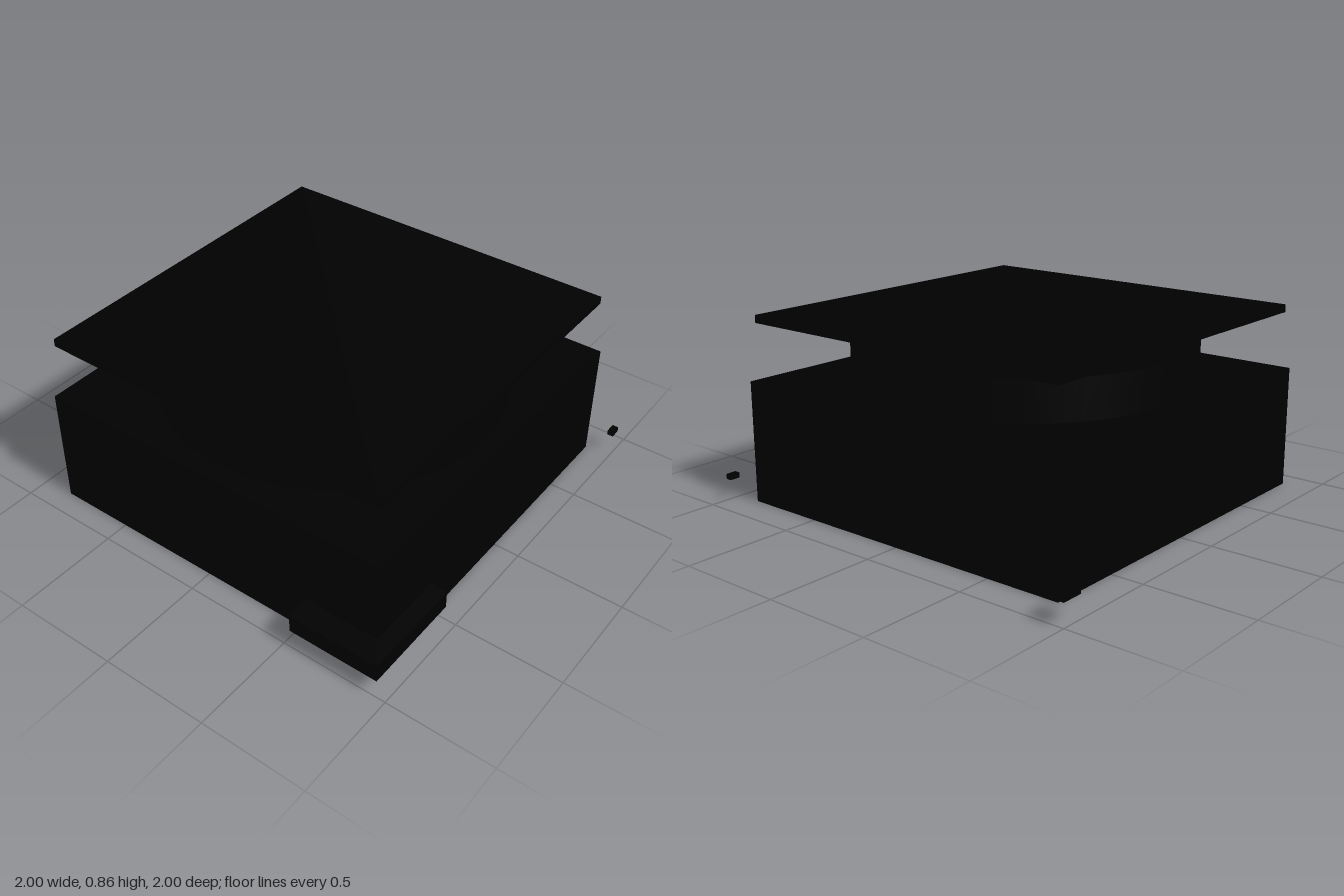
import * as THREE from 'three';

export function createModel() {
  const model = new THREE.Group();
  const black = new THREE.MeshStandardMaterial({ color: 0x000000 });
  black.name = 'black';

  function add(name, geometry, x, y, z) {
    const mesh = new THREE.Mesh(geometry, black);
    mesh.name = name;
    mesh.position.set(x, y, z);
    model.add(mesh);
  }

  // Box given by its extents along each axis
  function addBox(name, [x0, x1], [y0, y1], [z0, z1]) {
    add(name, new THREE.BoxGeometry(x1 - x0, y1 - y0, z1 - z0),
      (x0 + x1) / 2, (y0 + y1) / 2, (z0 + z1) / 2);
  }

  // Square housing with a round drum on top
  addBox('housing', [-0.89, 0.84], [0, 0.563], [-0.85, 0.88]);
  add('drum', new THREE.CylinderGeometry(0.78, 0.78, 0.183, 64), -0.025, 0.6545, 0.015);

  // Thin square plate floating above the drum
  addBox('topPlate', [-0.865, 0.815], [0.826, 0.862], [-0.825, 0.855]);

  // Block sticking out of the front corner of the housing
  addBox('cornerBlock', [-1, -0.515], [0.092, 0.178], [0.53, 0.957]);

  // Two small loose chips beside the housing
  addBox('backChip', [0.9, 1], [0.1, 0.128], [-1, -0.927]);
  addBox('frontChip', [0.867, 0.917], [0.102, 0.126], [0.966, 0.995]);

  return model;
}
